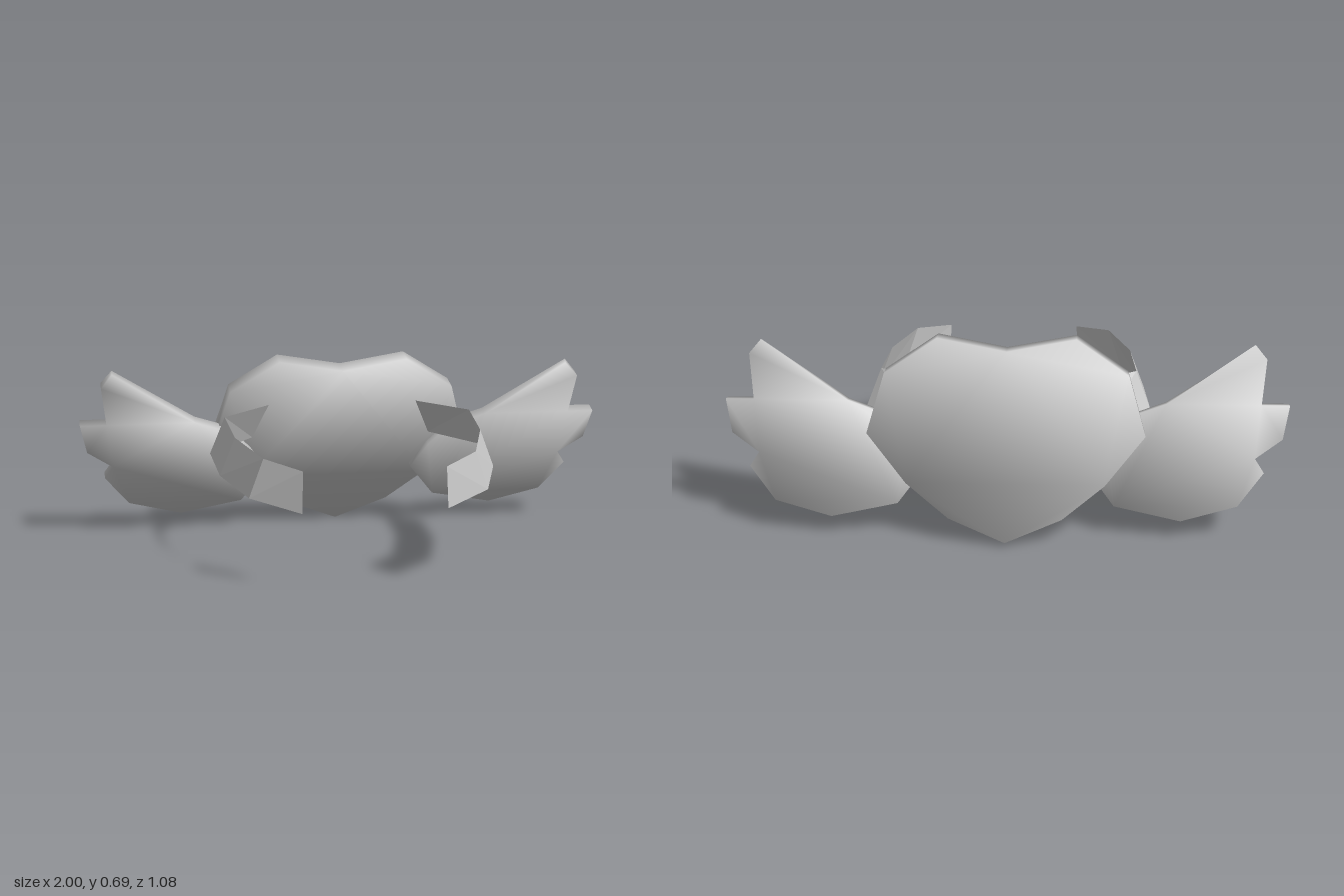
import * as THREE from 'three';

const grey = new THREE.MeshStandardMaterial({ color: 0xcccccc });
const thin = new THREE.MeshStandardMaterial({ color: 0xcccccc, side: THREE.DoubleSide });

// Leaning slab: outline [x, y, inset] on the plane z = z0 + slope * y, pushed back by (dy, dz).
// Normals fan outward at the rim so the flat caps look softly pillowed.
function slab(name, outline, { z0, slope, dy, dz }) {
  const pts = outline.map(([x, y, inset = 0]) => ({ v: new THREE.Vector2(x, y), inset }));
  if (THREE.ShapeUtils.isClockWise(pts.map((p) => p.v))) pts.reverse();
  const n = pts.length;
  const position = [], normal = [], index = [];
  const back = new THREE.Vector3(0, slope, -1).normalize();

  for (const layer of [0, 1]) {
    pts.forEach(({ v, inset }, i) => {
      const a = pts[(i + n - 1) % n].v, b = pts[(i + 1) % n].v;
      const e1 = v.clone().sub(a).normalize(), e2 = b.clone().sub(v).normalize();
      const out = e1.add(e2).normalize();
      const z = z0 + slope * v.y + (layer ? dz : -inset);
      position.push(v.x, v.y + layer * dy, z);
      const nrm = new THREE.Vector3(out.y, -out.x, -slope * out.x)
        .addScaledVector(back, layer ? 1.2 : -1.2).normalize();
      normal.push(nrm.x, nrm.y, nrm.z);
    });
  }
  for (const [a, b, c] of THREE.ShapeUtils.triangulateShape(pts.map((p) => p.v), [])) {
    index.push(a, b, c, n + a, n + c, n + b);
  }
  for (let i = 0; i < n; i++) {
    const j = (i + 1) % n;
    index.push(i, n + i, j, j, n + i, n + j);
  }
  const geo = new THREE.BufferGeometry();
  geo.setAttribute('position', new THREE.Float32BufferAttribute(position, 3));
  geo.setAttribute('normal', new THREE.Float32BufferAttribute(normal, 3));
  geo.setIndex(index);
  const mesh = new THREE.Mesh(geo, grey);
  mesh.name = name;
  return mesh;
}

// Flat ribbon between an upper and a lower edge, faceted at each bend
function ribbon(name, upper, lower, side) {
  const position = [];
  const put = ([x, y, z]) => position.push(x * side, y, z);
  for (let i = 0; i < upper.length - 1; i++) {
    const quad = [upper[i], lower[i], lower[i + 1], upper[i], lower[i + 1], upper[i + 1]];
    (side > 0 ? quad : quad.reverse()).forEach(put);
  }
  const geo = new THREE.BufferGeometry();
  geo.setAttribute('position', new THREE.Float32BufferAttribute(position, 3));
  geo.computeVertexNormals();
  const mesh = new THREE.Mesh(geo, thin);
  mesh.name = name;
  return mesh;
}

export function createModel() {
  const model = new THREE.Group();
  model.name = 'wingedHeartBand';

  // Heart plate
  const half = [[0.245, 0.678], [0.43, 0.56], [0.49, 0.36], [0.35, 0.195], [0.2, 0.08]];
  const mirrored = half.map(([x, y]) => [-x, y]).reverse();
  model.add(slab('heart', [[0, 0.635], ...half, [0, 0], ...mirrored],
    { z0: -0.453, slope: 0.355, dy: 0.016, dz: -0.087 }));

  // Feathered wing outline, third value sets the tip back
  const wing = [
    [0.875, 0.645, 0.04], [0.917, 0.597], [0.9, 0.445], [1.0, 0.445], [0.976, 0.332],
    [0.88, 0.267], [0.912, 0.22], [0.82, 0.107], [0.62, 0.055], [0.384, 0.102],
    [0.285, 0.225], [0.35, 0.32], [0.43, 0.4], [0.565, 0.445],
  ];

  // Curved side arms, from the free front end back to the plate
  const upper = [[0.25, 0.43, 0.525], [0.375, 0.455, 0.42], [0.45, 0.475, 0.16],
    [0.465, 0.497, -0.1], [0.285, 0.51, -0.24]];
  const lower = [[0.255, 0.283, 0.535], [0.425, 0.312, 0.405], [0.505, 0.333, 0.145],
    [0.52, 0.355, -0.125], [0.345, 0.375, -0.29]];

  for (const [side, label] of [[1, 'left'], [-1, 'right']]) {
    model.add(slab(label + 'Wing', wing.map(([x, y, inset]) => [x * side, y, inset]),
      { z0: -0.425, slope: 0.367, dy: 0.014, dz: -0.05 }));
    model.add(ribbon(label + 'Arm', upper, lower, side));
  }
  return model;
}
